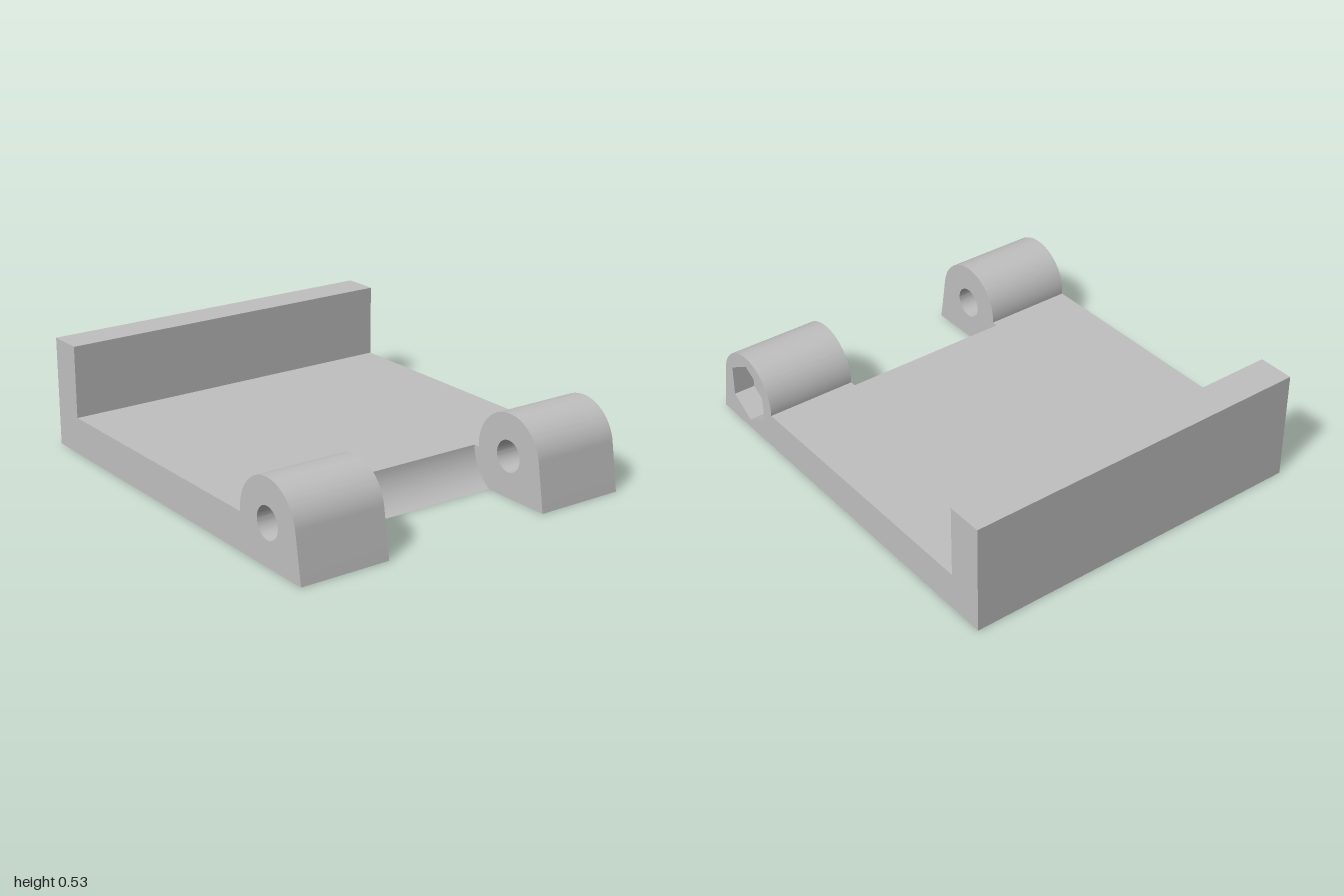
import * as THREE from 'three';
import { toCreasedNormals } from 'three/addons/utils/BufferGeometryUtils.js';

// Side profiles are drawn with u = -z and v = y, then extruded along x.
const HALF = 0.86, INNER = 0.42;        // overall half width, inner face of the lugs
const PLATE = 0.18, EDGE = -0.535;      // plate thickness, front edge of the plate
const PIN_U = -0.765, PIN_Y = 0.195;    // hinge pin axis
const POCKET = 0.105;                   // depth of the hexagonal nut pocket

function polygon(points) {
  return new THREE.Shape(points.map(([u, v]) => new THREE.Vector2(u, v)));
}

function roundHole() {
  return new THREE.Path().absarc(PIN_U, PIN_Y, 0.075, 0, Math.PI * 2, true);
}

function hexHole() {
  const points = [];
  for (let i = 0; i < 6; i++) {
    const a = Math.PI / 2 - i * Math.PI / 3;
    points.push(new THREE.Vector2(PIN_U + 0.15 * Math.cos(a), PIN_Y + 0.15 * Math.sin(a)));
  }
  points.push(points[0].clone());
  return new THREE.Path(points);
}

// Lug: rounded over the pin, with a slanted front running down to the floor
function lugShape(hole) {
  const s = new THREE.Shape();
  s.moveTo(-1, 0);
  s.lineTo(EDGE, 0);
  s.lineTo(EDGE, PLATE);
  s.lineTo(PIN_U + 0.2, PLATE);
  s.absarc(PIN_U, PIN_Y, 0.2, -0.075, Math.PI - 0.164, false);
  s.lineTo(-1, 0);
  s.holes.push(hole);
  return s;
}

// Concave clearance concentric with the pin
function lipShape() {
  const s = new THREE.Shape();
  s.moveTo(-0.643, 0);
  s.lineTo(EDGE, 0);
  s.lineTo(EDGE, PLATE);
  s.absarc(PIN_U, PIN_Y, 0.23, -0.065, -1.012, true);
  return s;
}

export function createModel() {
  const group = new THREE.Group();
  group.name = 'hingeBracket';
  const grey = new THREE.MeshStandardMaterial({ color: 0xc0c0c0 });
  grey.name = 'grey';

  function addSlab(name, shape, x0, x1) {
    const geo = new THREE.ExtrudeGeometry(shape, { depth: x1 - x0, bevelEnabled: false, curveSegments: 32 });
    geo.rotateY(Math.PI / 2).translate(x0, 0, 0);
    const mesh = new THREE.Mesh(toCreasedNormals(geo, 0.4), grey);
    mesh.name = name;
    group.add(mesh);
  }

  // Base plate with the upright back wall
  addSlab('plateAndBackWall', polygon([
    [EDGE, 0], [1, 0], [1, 0.53], [0.825, 0.53], [0.825, PLATE], [EDGE, PLATE],
  ]), -HALF, HALF);

  // Hollowed front edge between the lugs
  addSlab('frontLip', lipShape(), -INNER, INNER);

  // Hinge lugs; the left one has a nut pocket on its outer side
  addSlab('rightLug', lugShape(roundHole()), -HALF, -INNER);
  addSlab('leftLug', lugShape(roundHole()), INNER, HALF - POCKET);
  addSlab('leftLugNutPocket', lugShape(hexHole()), HALF - POCKET, HALF);

  return group;
}
